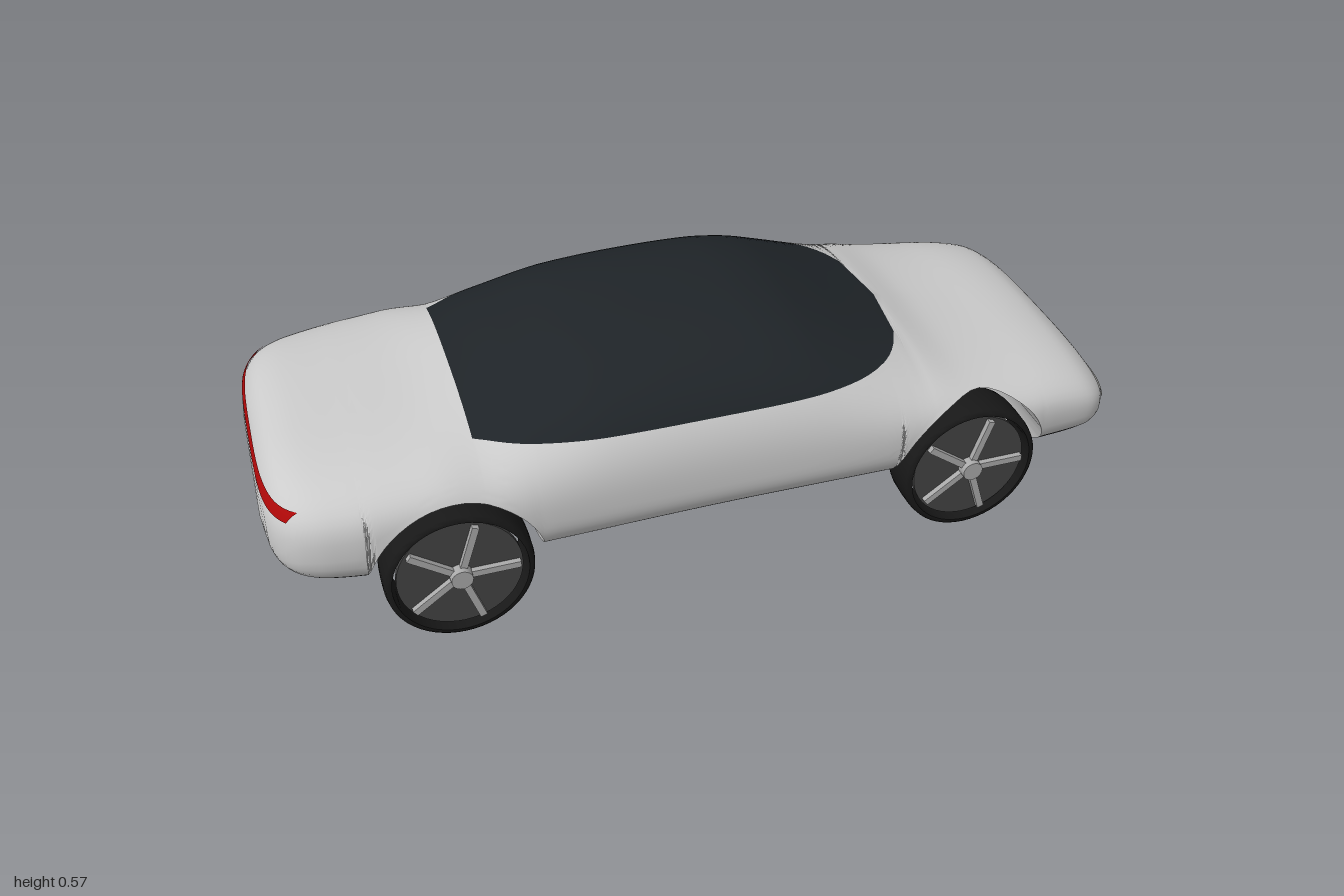
import * as THREE from 'three';
import { toCreasedNormals } from 'three/addons/utils/BufferGeometryUtils.js';

const mat = (color, side = THREE.FrontSide) => new THREE.MeshStandardMaterial({ color, side });
const PAINT = mat(0xcccccc), TRIM = mat(0x141414), GLASS = mat(0x1f2428);
const RUBBER = mat(0x181818), RIM = mat(0x444444), METAL = mat(0xaaaaaa);

// Monotone cubic curve through [x, value] points
function curve(p) {
  const d = p.slice(1).map((q, i) => (q[1] - p[i][1]) / (q[0] - p[i][0]));
  const m = p.map((_, i) => {
    const a = d[Math.max(i - 1, 0)], b = d[Math.min(i, d.length - 1)];
    return a * b <= 0 ? 0 : 2 * a * b / (a + b);
  });
  return x => {
    let i = 0;
    while (i < p.length - 2 && x > p[i + 1][0]) i++;
    const h = p[i + 1][0] - p[i][0], t = Math.min(1, Math.max(0, (x - p[i][0]) / h));
    const t2 = t * t, t3 = t2 * t;
    return p[i][1] * (2 * t3 - 3 * t2 + 1) + p[i + 1][1] * (3 * t2 - 2 * t3)
      + h * (m[i] * (t3 - 2 * t2 + t) + m[i + 1] * (t3 - t2));
  };
}

// Body lines along the length (nose at +x)
const top = curve([[-1, .29], [-.995, .34], [-.98, .38], [-.95, .41], [-.9, .424], [-.8, .432], [-.65, .443],
  [-.54, .465], [-.4, .511], [-.25, .553], [-.1, .567], [0, .569], [.1, .566], [.2, .55], [.3, .515], [.4, .474],
  [.5, .435], [.6, .398], [.7, .382], [.82, .37], [.9, .352], [.95, .323], [.98, .29], [1, .24]]);
const bottom = curve([[-1, .25], [-.99, .19], [-.96, .15], [-.9, .128], [-.8, .123], [.82, .123],
  [.9, .13], [.95, .148], [.98, .175], [1, .22]]);
const halfWidth = curve([[-1, .18], [-.99, .26], [-.97, .31], [-.93, .35], [-.87, .373], [-.75, .39], [-.5, .399],
  [0, .392], [.5, .398], [.72, .39], [.85, .377], [.92, .365], [.96, .34], [.985, .29], [1, .19]]);
const waist = curve([[-1, .27], [-.9, .28], [.5, .28], [.8, .26], [1, .23]]);
const roundness = curve([[-1, 3], [-.65, 3.3], [-.52, 2.5], [.45, 2.5], [.6, 3], [1, 2.8]]);

// Half cross-section: superellipse, different above and below the waist
function section(x) {
  const W = halfWidth(x), ym = waist(x), up = top(x) - ym, down = ym - bottom(x), nu = roundness(x), nd = 2.7;
  const angle = y => {
    const s = (y - ym) / (y > ym ? up : down), n = y > ym ? nu : nd;
    return Math.sign(s) * Math.asin(Math.min(1, Math.abs(s)) ** (n / 2));
  };
  const at = t => {
    const n = t > 0 ? nu : nd;
    const y = ym + Math.sign(t) * (t > 0 ? up : down) * Math.abs(Math.sin(t)) ** (2 / n);
    return [y, W * Math.max(0, Math.cos(t)) ** (2 / n)];
  };
  return { angle, at };
}

const ARCH_R = .193, AXLE_Y = .168, AXLES = [-.61, .6];
const SILL = .2, BELT = .435, GLASS_BACK = -.54;
const SEGMENTS = [['floor', 3], ['low', 9], ['side', 16], ['upper', 14]];

// Stations along x, doubled where a wheel tunnel starts or ends
function stations() {
  const list = [{ x: -1, cap: true }];
  const span = (a, b, n, ease = u => u) => {
    for (let i = 0; i <= n; i++) list.push({ x: a + (b - a) * ease(i / n) });
  };
  const tunnel = xc => {
    for (let i = 0; i <= 24; i++) {
      const a = Math.PI * i / 24;
      list.push({ x: xc - ARCH_R * Math.cos(a), clip: AXLE_Y + ARCH_R * Math.sin(a) });
    }
  };
  span(-1, AXLES[0] - ARCH_R, 18, u => u * u);
  tunnel(AXLES[0]);
  span(AXLES[0] + ARCH_R, AXLES[1] - ARCH_R, 32);
  tunnel(AXLES[1]);
  span(AXLES[1] + ARCH_R, 1, 18, u => 1 - (1 - u) ** 2);
  list.push({ x: 1, cap: true });
  // Exact stations for the glass edge
  list.splice(list.findIndex(s => s.x > GLASS_BACK), 0, {
    x: GLASS_BACK, clip: AXLE_Y + Math.sqrt(ARCH_R ** 2 - (GLASS_BACK - AXLES[0]) ** 2)
  });
  return list;
}

function ring({ x, clip = 0, cap }) {
  const { angle, at } = section(x), hi = top(x), lo = Math.max(bottom(x), clip);
  const lim = y => Math.min(hi, Math.max(lo, y));
  const cuts = [lo, lim(SILL), lim(BELT), hi].map(angle);
  const pts = [], [y0, z0] = at(cuts[0]);
  for (let i = 0; i <= 3; i++) pts.push([y0, z0 * i / 3]);
  for (let s = 1; s < 4; s++) {
    for (let i = 1; i <= SEGMENTS[s][1]; i++) {
      pts.push(at(cuts[s - 1] + (cuts[s] - cuts[s - 1]) * i / SEGMENTS[s][1]));
    }
  }
  return pts.map(([y, z]) => cap ? new THREE.Vector3(x, waist(x), 0) : new THREE.Vector3(x, y, z));
}

// Loft the whole shell, then share its triangles out to paint, trim and glass
function buildBody(group) {
  const st = stations(), rings = st.map(ring), rows = SEGMENTS.flatMap(([n, c]) => Array(c).fill(n));
  const pos = [], owner = [], tri = new THREE.Triangle();
  const add = (a, b, c, part) => {
    if (tri.set(a, b, c).getArea() < 1e-9) return;
    for (const v of [a, b, c]) pos.push(v.x, v.y, v.z);
    for (const v of [a, c, b]) pos.push(v.x, v.y, -v.z);
    owner.push(part, part);
  };
  for (let i = 0; i < st.length - 1; i++) {
    const mid = (st[i].x + st[i + 1].x) / 2, inTunnel = st[i].clip || st[i + 1].clip;
    rows.forEach((row, k) => {
      let part = 'bodyPaint';
      if (row === 'low' || row === 'floor') part = inTunnel ? 'bodyPaint' : 'lowerTrim';
      if (row === 'upper' && mid > GLASS_BACK && mid < .6) part = 'glassCanopy';
      const A = rings[i][k], B = rings[i + 1][k], C = rings[i + 1][k + 1], D = rings[i][k + 1];
      add(A, B, C, part);
      add(A, C, D, part);
    });
  }
  const whole = new THREE.BufferGeometry();
  whole.setAttribute('position', new THREE.Float32BufferAttribute(pos, 3));
  const smooth = toCreasedNormals(whole, .7);
  for (const [name, material] of [['bodyPaint', PAINT], ['lowerTrim', TRIM], ['glassCanopy', GLASS]]) {
    const geo = new THREE.BufferGeometry();
    for (const key of ['position', 'normal']) {
      const src = smooth.attributes[key].array, out = [];
      owner.forEach((o, t) => { if (o === name) out.push(...src.subarray(t * 9, t * 9 + 9)); });
      geo.setAttribute(key, new THREE.Float32BufferAttribute(out, 3));
    }
    addMesh(group, name, geo, material);
  }
}

function addMesh(group, name, geo, material) {
  const mesh = new THREE.Mesh(geo, material);
  mesh.name = name;
  group.add(mesh);
  return mesh;
}

// Light band wrapped round one end of the body, just proud of its surface
function lightBand(end, y0, y1, zMax) {
  const findX = (y, z) => {
    let a = .8, b = 1;
    for (let i = 0; i < 30; i++) {
      const m = (a + b) / 2, x = m * end;
      const inside = y < top(x) && y > bottom(x) && section(x).at(section(x).angle(y))[1] > z;
      if (inside) a = m; else b = m;
    }
    return end * (a + .003);
  };
  const N = 48, M = 3, pos = [], idx = [];
  for (let i = 0; i <= N; i++) for (let j = 0; j <= M; j++) {
    const z = zMax * (2 * i / N - 1), y = y0 + (y1 - y0) * j / M;
    pos.push(findX(y, Math.abs(z)), y, z * 1.006);
    if (i < N && j < M) {
      const a = i * (M + 1) + j, b = a + M + 1;
      idx.push(...(end > 0 ? [a, a + 1, b, b, a + 1, b + 1] : [a, b, a + 1, b, b + 1, a + 1]));
    }
  }
  const geo = new THREE.BufferGeometry();
  geo.setAttribute('position', new THREE.Float32BufferAttribute(pos, 3));
  geo.setIndex(idx);
  geo.computeVertexNormals();
  return geo;
}

// Wheel facing +z, centred on its axle
function wheel(name) {
  const g = new THREE.Group();
  g.name = name;
  const profile = [[.15, -.055], [.157, -.055], [.163, -.05], [.166, -.035], [.167, 0], [.166, .035],
    [.163, .05], [.157, .055], [.15, .055], [.15, -.055]].map(p => new THREE.Vector2(...p));
  const tire = new THREE.LatheGeometry(profile, 56).rotateX(Math.PI / 2);
  addMesh(g, 'tire', toCreasedNormals(tire, .7), RUBBER);
  const disc = new THREE.CylinderGeometry(.139, .139, .012, 48).rotateX(Math.PI / 2).translate(0, 0, .034);
  addMesh(g, 'rimDisc', disc, RIM);
  for (let i = 0; i < 5; i++) {
    const spoke = new THREE.BoxGeometry(.115, .016, .014).translate(.075, 0, .046);
    addMesh(g, 'spoke', spoke.rotateZ(i * Math.PI * 2 / 5), METAL);
  }
  const hub = new THREE.CylinderGeometry(.024, .026, .035, 24).rotateX(Math.PI / 2).translate(0, 0, .048);
  addMesh(g, 'hub', hub, METAL);
  return g;
}

export function createModel() {
  const model = new THREE.Group();
  model.name = 'car';
  buildBody(model);
  addMesh(model, 'tailLight', lightBand(-1, .35, .372, .32), mat(0xaa0808, THREE.DoubleSide));
  addMesh(model, 'headLight', lightBand(1, .245, .27, .335), mat(0xb4b4b0, THREE.DoubleSide));
  AXLES.forEach((x, i) => {
    for (const side of [1, -1]) {
      const w = wheel((i ? 'front' : 'rear') + 'Wheel');
      w.position.set(x, AXLE_Y, side * .34);
      if (side < 0) w.rotation.x = Math.PI;
      model.add(w);
    }
  });
  return model;
}
